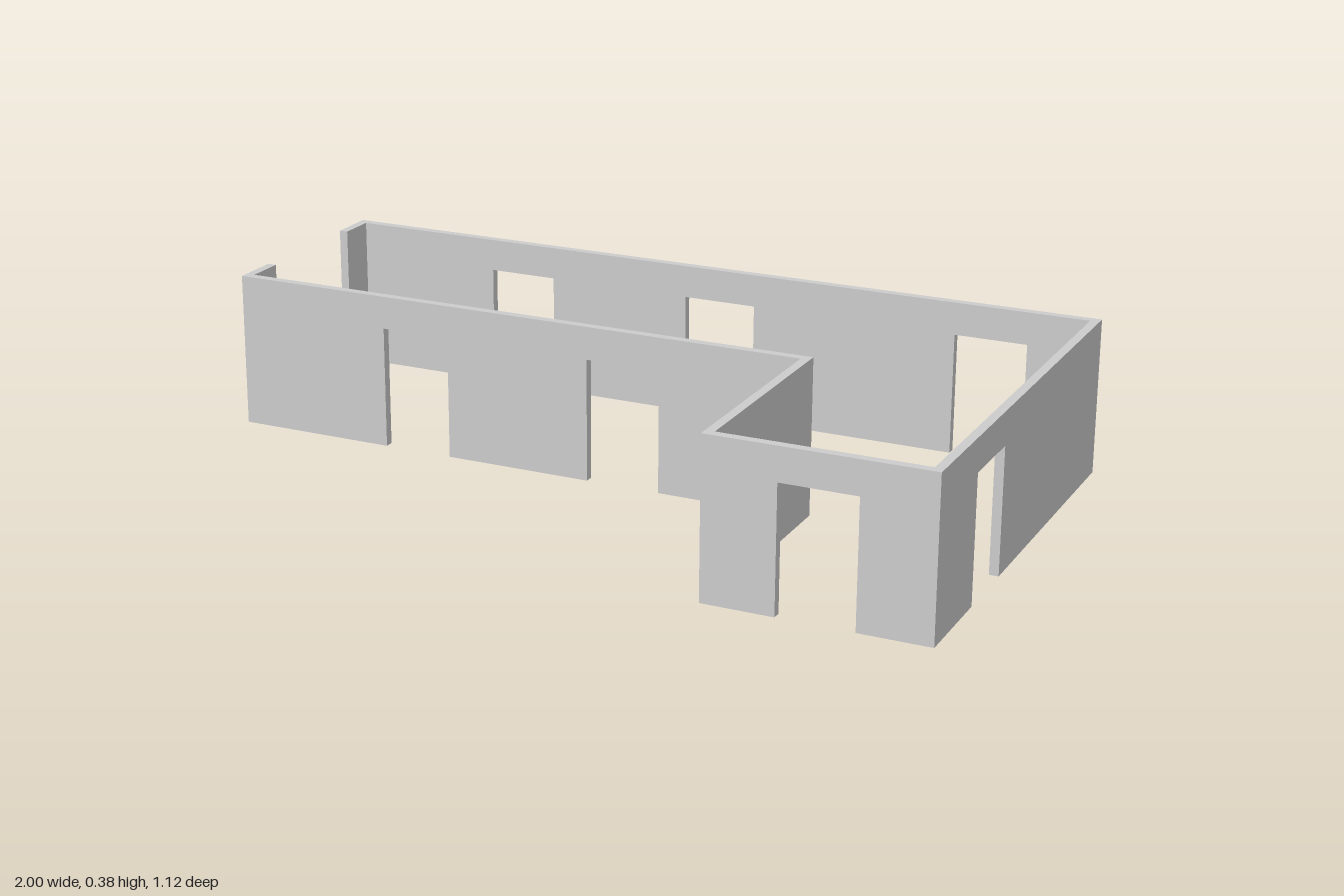
import * as THREE from 'three';

const HEIGHT = 0.38, DOOR_HEIGHT = 0.3, THICK = 0.022;

export function createModel() {
  const model = new THREE.Group();
  model.name = 'floorPlanWalls';
  const material = new THREE.MeshStandardMaterial({ color: 0xcccccc, flatShading: true });

  // Wall outline from a to b with door notches cut up from the floor
  function wallGeometry(a, b, doors) {
    const shape = new THREE.Shape();
    shape.moveTo(a, 0);
    for (const [d0, d1] of doors) {
      shape.lineTo(d0, 0);
      shape.lineTo(d0, DOOR_HEIGHT);
      shape.lineTo(d1, DOOR_HEIGHT);
      shape.lineTo(d1, 0);
    }
    shape.lineTo(b, 0);
    shape.lineTo(b, HEIGHT);
    shape.lineTo(a, HEIGHT);
    return new THREE.ExtrudeGeometry(shape, { depth: THICK, bevelEnabled: false });
  }

  function add(name, geometry) {
    const mesh = new THREE.Mesh(geometry, material);
    mesh.name = name;
    model.add(mesh);
  }

  // Wall running along x, its rear face at z
  const wallX = (name, x0, x1, z, doors = []) =>
    add(name, wallGeometry(x0, x1, doors).translate(0, 0, z));

  // Wall running along z, its right-hand face at x (outline drawn in -z, then turned)
  const wallZ = (name, z0, z1, x, doors = []) =>
    add(name, wallGeometry(-z1, -z0, doors.map(([p, q]) => [-q, -p]))
      .rotateY(Math.PI / 2).translate(x, 0, 0));

  const doorA = [-0.6, -0.425], doorB = [-0.055, 0.13], doorC = [0.65, 0.83];
  const inner = 1 - THICK, wingX = 0.478, hallZ = -0.005;

  // Long walls of the hall
  wallX('backWall', -inner, inner, -0.56, [doorA, doorB, doorC]);
  wallX('hallFrontWall', -inner, wingX, hallZ, [doorA, doorB]);

  // Projecting wing
  wallX('wingFrontWall', wingX + THICK, inner, 0.56 - THICK, [doorC]);
  wallZ('wingSideWall', hallZ, 0.56, wingX);
  wallZ('leftOuterWall', -0.56, 0.56, inner, [[0.147, 0.327]]);

  // Short returns either side of the open end
  wallZ('openEndBackReturn', -0.56, -0.443, -1);
  wallZ('openEndFrontReturn', -0.102, hallZ + THICK, -1);

  return model;
}
